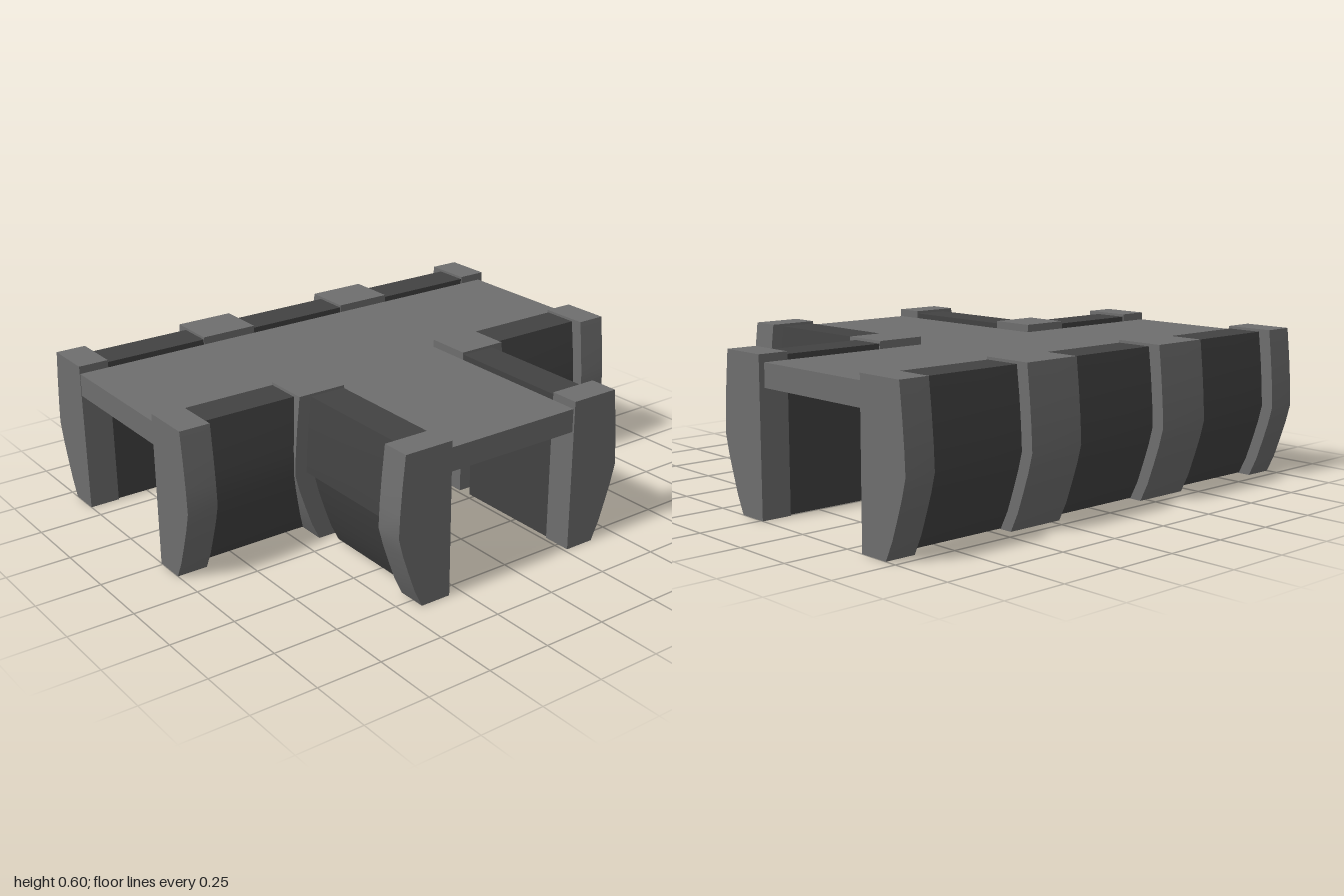
import * as THREE from 'three';
import { toCreasedNormals } from 'three/addons/utils/BufferGeometryUtils.js';

// Wall cross-sections: [outward distance, height]
const RIB = [[0, 0], [0.122, 0], [0.155, 0.07], [0.183, 0.15], [0.206, 0.22], [0.224, 0.29],
  [0.219, 0.38], [0.21, 0.48], [0.197, 0.595], [0, 0.595]];
const IN = 0.004;
const LOWER = [[IN, 0.003], [0.072, 0.003], [0.105, 0.07], [0.133, 0.15], [0.156, 0.22], [0.174, 0.29]];
const UPPER = [[0.174, 0.29], [0.169, 0.38], [0.16, 0.48], [0.147, 0.585], [IN, 0.585]];
const PANEL = [...LOWER, ...UPPER.slice(1)];
const PANEL_LOW = [...LOWER, [IN, 0.29]];
const PANEL_HIGH = [[IN, 0.29], ...UPPER];

export function createModel() {
  const group = new THREE.Group();
  const ribMat = new THREE.MeshStandardMaterial({ color: 0x6e6e6e });
  ribMat.name = 'midGrey';
  const panelMat = new THREE.MeshStandardMaterial({ color: 0x424242 });
  panelMat.name = 'darkGrey';

  // Extrude a cross-section from a to b along a wall whose inner face is at `inner`
  function wall(name, profile, mat, side, inner, a, b) {
    const shape = new THREE.Shape(profile.map(([u, v]) => new THREE.Vector2(u, v)));
    const geo = toCreasedNormals(
      new THREE.ExtrudeGeometry(shape, { depth: b - a, bevelEnabled: false }), 0.4);
    const mesh = new THREE.Mesh(geo, mat);
    mesh.name = name;
    if (side === 'left') mesh.position.set(inner, 0, a);
    if (side === 'right') { mesh.rotation.y = Math.PI; mesh.position.set(inner, 0, b); }
    if (side === 'back') { mesh.rotation.y = Math.PI / 2; mesh.position.set(a, 0, inner); }
    if (side === 'front') { mesh.rotation.y = -Math.PI / 2; mesh.position.set(b, 0, inner); }
    group.add(mesh);
  }

  // Back wall: four ribs with panels between
  for (const [a, b] of [[-1, -0.88], [-0.455, -0.22], [0.213, 0.45], [0.88, 1]])
    wall('backRib', RIB, ribMat, 'back', -0.58, a, b);
  for (const [a, b] of [[-0.88, -0.455], [-0.22, 0.213], [0.45, 0.88]])
    wall('backPanel', PANEL, panelMat, 'back', -0.58, a, b);

  // Front walls on both sides of the branch
  wall('frontEndRib', RIB, ribMat, 'front', -0.01, -1, -0.88);
  wall('frontEndRib', RIB, ribMat, 'front', -0.01, 0.88, 1);
  wall('frontPanel', PANEL, panelMat, 'front', -0.01, -0.88, -0.422);
  wall('frontPanel', PANEL, panelMat, 'front', -0.01, 0.387, 0.88);

  // Branch walls: corner rib, panel notched low at the corner, end rib
  for (const [side, inner] of [['left', 0.265], ['right', -0.302]]) {
    wall('cornerRib', RIB, ribMat, side, inner, -0.01, 0.173);
    wall('branchPanelUpper', PANEL_HIGH, panelMat, side, inner, 0.173, 0.685);
    wall('branchPanelLower', PANEL_LOW, panelMat, side, inner, 0.228, 0.685);
    wall('branchEndRib', RIB, ribMat, side, inner, 0.685, 0.8);
  }

  // T-shaped roof slab
  const outline = [[-0.998, 0.58], [-0.998, 0.01], [-0.302, 0.01], [-0.302, -0.792],
    [0.265, -0.792], [0.265, 0.01], [0.978, 0.01], [0.978, 0.58]];
  const roofShape = new THREE.Shape(outline.map(([x, y]) => new THREE.Vector2(x, y)));
  const roof = new THREE.Mesh(
    new THREE.ExtrudeGeometry(roofShape, { depth: 0.09, bevelEnabled: false }), ribMat);
  roof.name = 'roof';
  roof.rotation.x = -Math.PI / 2;
  roof.position.y = 0.475;
  group.add(roof);

  return group;
}
